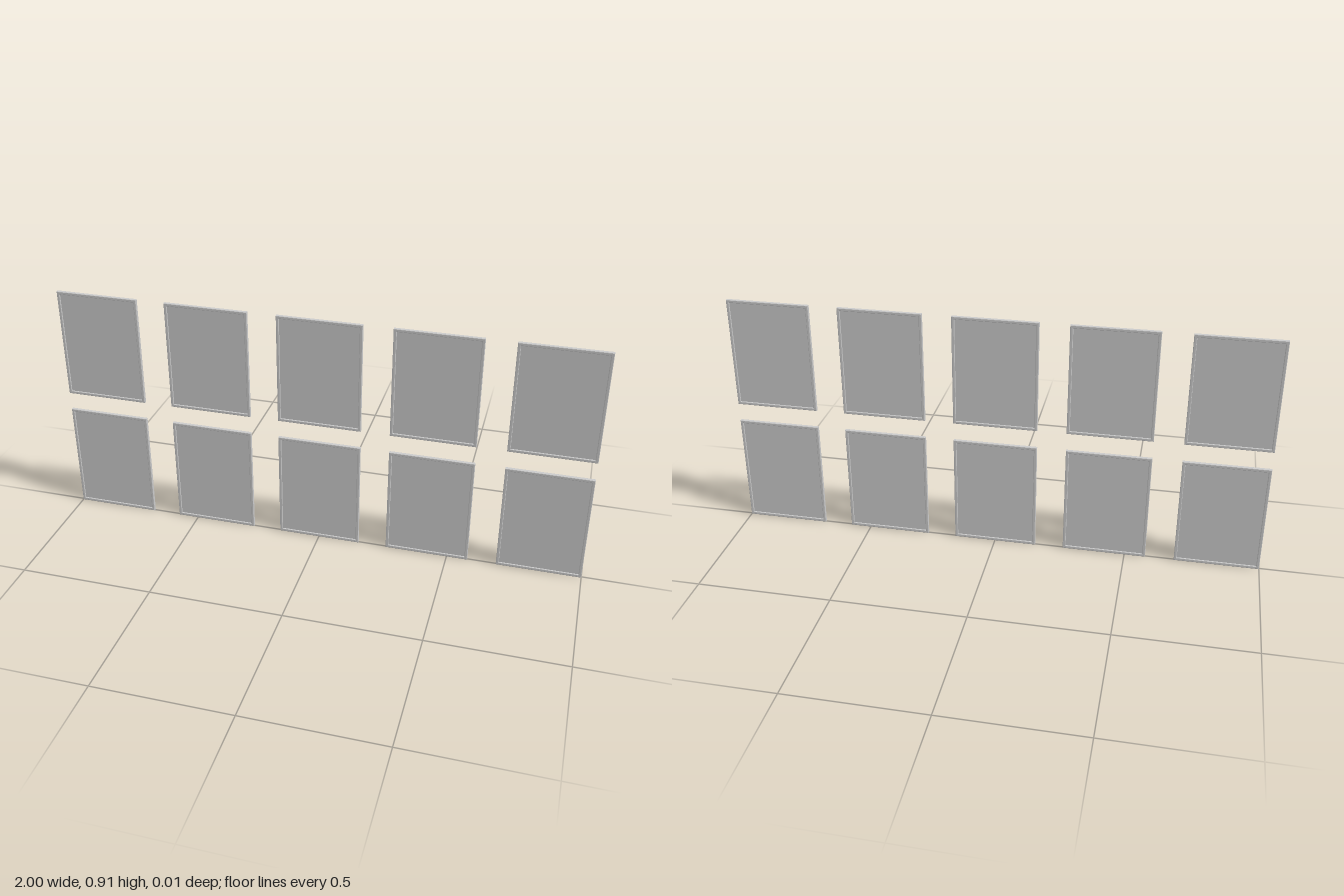
import * as THREE from 'three';

const W = 0.314, H = 0.422, DEPTH = 0.013, RAIL = 0.011, BEVEL = 0.002;
const COLS = 5, ROWS = 2, PITCH_X = (2 - W) / (COLS - 1), PITCH_Y = 0.492;

// Rectangle outline centred on the origin
function rectangle(PathType, w, h) {
  return new PathType([
    new THREE.Vector2(-w / 2, -h / 2), new THREE.Vector2(w / 2, -h / 2),
    new THREE.Vector2(w / 2, h / 2), new THREE.Vector2(-w / 2, h / 2),
  ]);
}

export function createModel() {
  const model = new THREE.Group();
  model.name = 'framedPanels';
  const material = new THREE.MeshStandardMaterial({ color: 0xcccccc });

  // Thin frame with softened edges
  const outline = rectangle(THREE.Shape, W, H);
  outline.holes.push(rectangle(THREE.Path, W - 2 * RAIL, H - 2 * RAIL));
  const frameGeometry = new THREE.ExtrudeGeometry(outline, {
    depth: DEPTH - 2 * BEVEL, bevelEnabled: true, bevelThickness: BEVEL,
    bevelSize: BEVEL, bevelOffset: -BEVEL, bevelSegments: 2,
  });
  frameGeometry.translate(0, 0, -DEPTH / 2 + BEVEL);

  // Flat pane, recessed on both sides of the frame
  const paneGeometry = new THREE.BoxGeometry(W - 2 * RAIL + 0.004, H - 2 * RAIL + 0.004, 0.004);

  for (let row = 0; row < ROWS; row++) {
    for (let col = 0; col < COLS; col++) {
      const panel = new THREE.Group();
      panel.name = `panel${row + 1}_${col + 1}`;
      const frame = new THREE.Mesh(frameGeometry, material);
      frame.name = 'frame';
      const pane = new THREE.Mesh(paneGeometry, material);
      pane.name = 'pane';
      panel.add(frame, pane);
      panel.position.set((col - (COLS - 1) / 2) * PITCH_X, H / 2 + row * PITCH_Y, 0);
      model.add(panel);
    }
  }
  return model;
}
